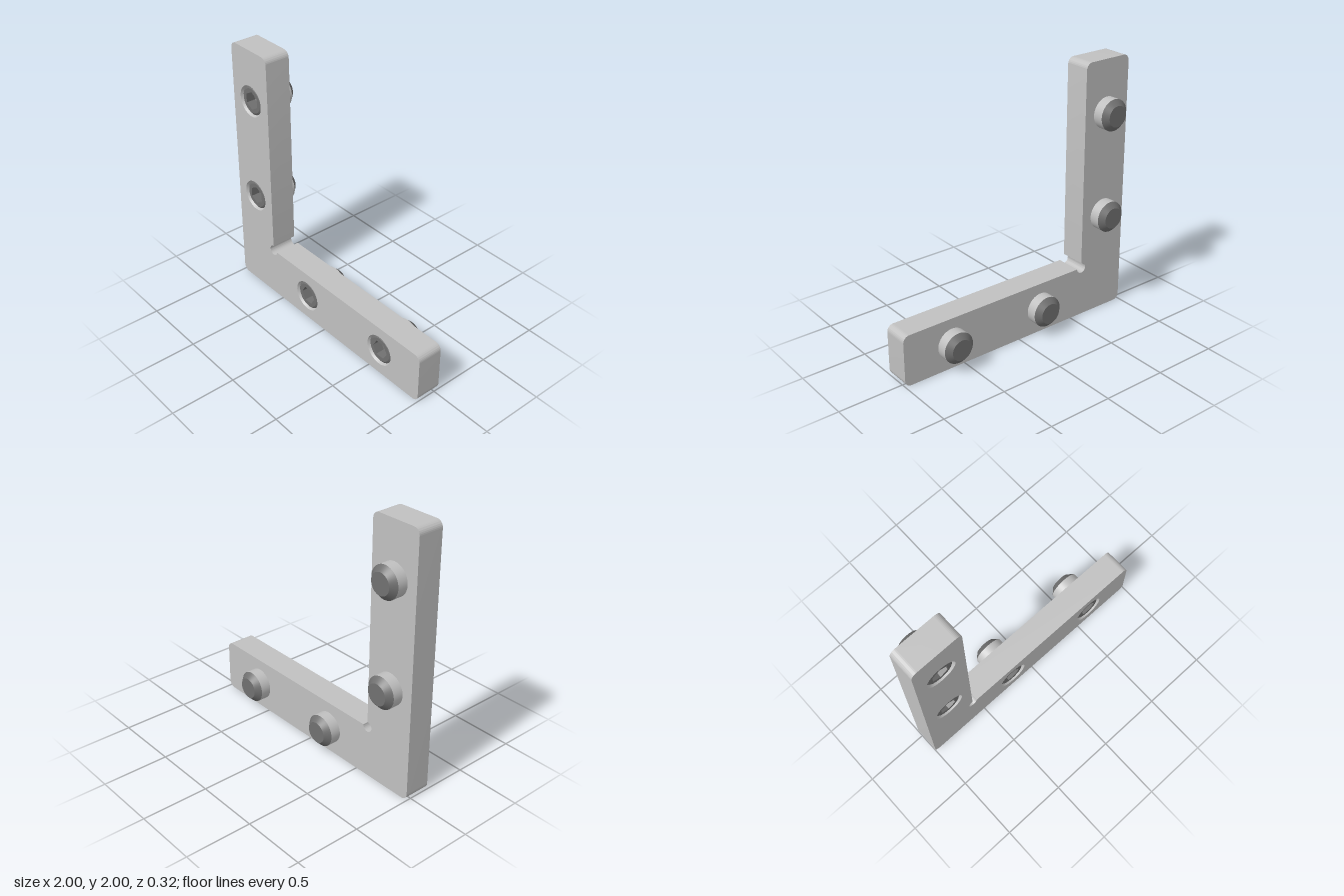
import * as THREE from 'three';
import { toCreasedNormals } from 'three/addons/utils/BufferGeometryUtils.js';

const FRONT = 0.16, BACK = -0.04, R = 0.12;
const steel = new THREE.MeshStandardMaterial({ color: 0xc0c0c0 });
steel.name = 'light steel';
const dark = new THREE.MeshStandardMaterial({ color: 0x707070 });
dark.name = 'dark steel';

function part(name, geometry, material) {
  const mesh = new THREE.Mesh(geometry, material);
  mesh.name = name;
  return mesh;
}

// One band of a turned part around z, from (r1, z1) to (r2, z2)
function band(name, r1, z1, r2, z2, material, sides = 48) {
  let g = new THREE.LatheGeometry([new THREE.Vector2(r1, z1), new THREE.Vector2(r2, z2)], sides);
  g.rotateX(Math.PI / 2);
  if (sides === 6) {
    g = g.toNonIndexed();
    g.computeVertexNormals();
  }
  return part(name, g, material);
}

// L-shaped plate with rounded corners, relief notch and four holes
function createPlate(holes) {
  const c = 0.05, n = 0.04, H = Math.PI / 2;
  const s = new THREE.Shape();
  s.moveTo(-1 + c, 0);
  s.absarc(1 - c, c, c, -H, 0, false);
  s.absarc(1 - c, 0.4 - c, c, 0, H, false);
  s.absarc(-0.6, 0.4, n, 0, H, true);
  s.absarc(-0.6 - c, 2 - c, c, 0, H, false);
  s.absarc(-1 + c, 2 - c, c, H, 2 * H, false);
  s.absarc(-1 + c, c, c, 2 * H, 3 * H, false);
  for (const [x, y] of holes) {
    s.holes.push(new THREE.Path().absarc(x, y, R, 0, Math.PI * 2, true));
  }
  const g = new THREE.ExtrudeGeometry(s, { depth: FRONT - BACK, bevelEnabled: false, curveSegments: 24 });
  g.translate(0, 0, BACK);
  return part('plate', toCreasedNormals(g, 0.5), steel);
}

// Set screw: light shank, dark chamfered tip, hexagon socket in front
function createScrew(x, y, turn) {
  const screw = new THREE.Group();
  screw.name = 'setScrew';
  const hexR = 0.07, faceZ = 0.15;

  const face = new THREE.Shape().absarc(0, 0, 0.095, 0, Math.PI * 2, false);
  const hex = [];
  for (let i = 0; i < 6; i++) {
    const a = Math.PI / 2 - i * Math.PI / 3;
    hex.push(new THREE.Vector2(hexR * Math.cos(a), hexR * Math.sin(a)));
  }
  face.holes.push(new THREE.Path(hex));
  const faceGeometry = new THREE.ShapeGeometry(face, 24);
  faceGeometry.translate(0, 0, faceZ);

  screw.add(
    band('tipFace', 0, -0.16, 0.08, -0.16, dark),
    band('tipChamfer', 0.08, -0.16, R, -0.12, dark),
    band('shank', R, -0.12, R, FRONT, steel),
    band('rim', R, FRONT, 0.11, 0.14, steel),
    band('headChamfer', 0.11, 0.14, 0.095, faceZ, dark),
    part('headFace', faceGeometry, dark),
    band('socketWall', hexR, faceZ, hexR, 0.08, dark, 6),
    band('socketBottom', hexR, 0.08, 0, 0.045, dark, 6),
  );
  screw.position.set(x, y, 0);
  screw.rotation.z = turn;
  return screw;
}

export function createModel() {
  const model = new THREE.Group();
  model.name = 'cornerBracket';
  const screws = [[-0.8, 1.6, 0], [-0.8, 0.8, 0], [-0.2, 0.2, Math.PI / 6], [0.6, 0.2, Math.PI / 6]];
  model.add(createPlate(screws));
  for (const [x, y, turn] of screws) model.add(createScrew(x, y, turn));
  return model;
}
